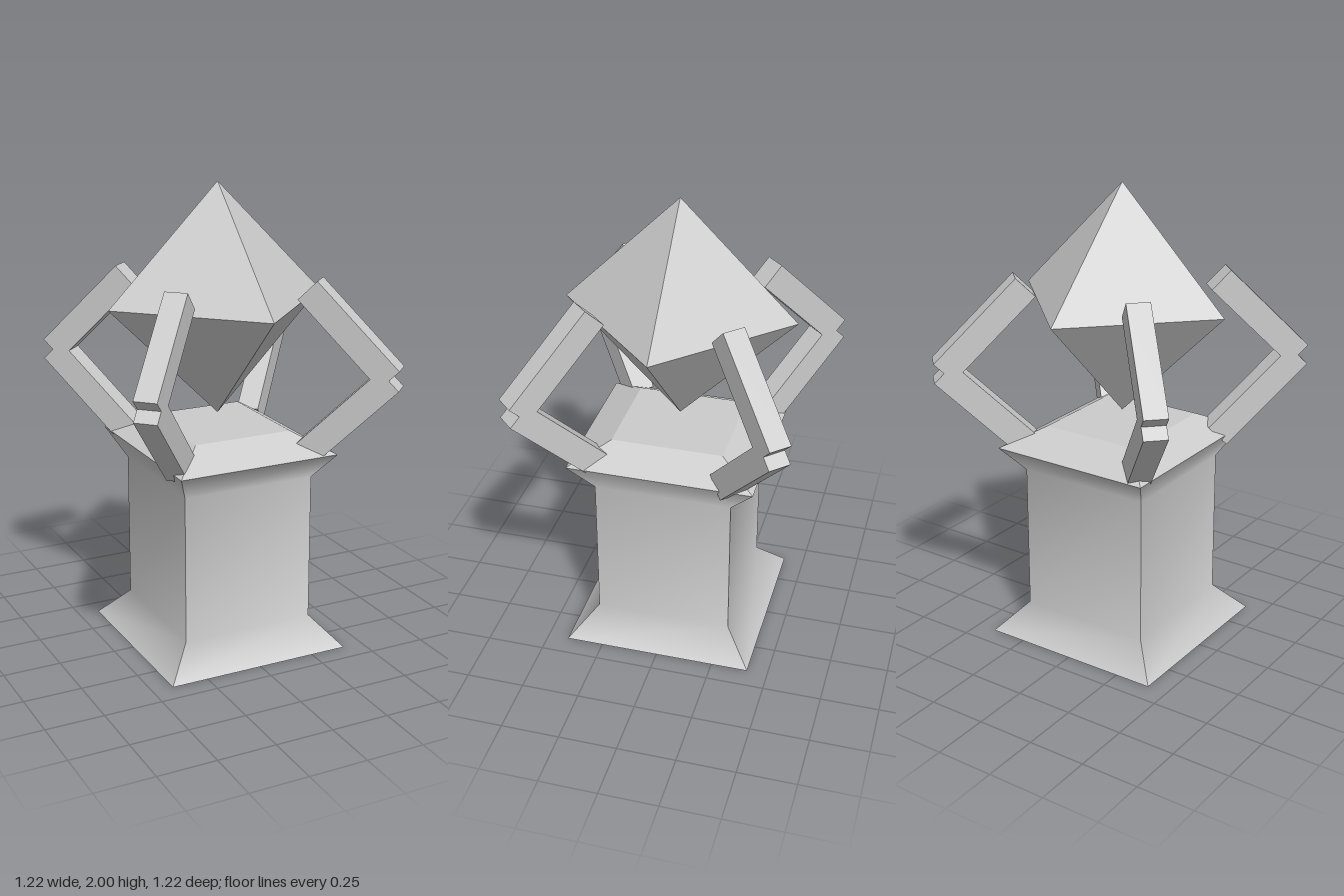
import * as THREE from 'three';

const material = new THREE.MeshStandardMaterial({ color: 0xcccccc });
const flatMaterial = new THREE.MeshStandardMaterial({ color: 0xcccccc, flatShading: true });

function addMesh(parent, name, geometry, mat = material) {
  const mesh = new THREE.Mesh(geometry, mat);
  mesh.name = name;
  parent.add(mesh);
  return mesh;
}

// Four walls through rectangular rings [halfX, halfZ, y], smooth upwards and sharp at the corners.
function wallGeometry(rings) {
  const corners = [[-1, 1], [1, 1], [1, -1], [-1, -1]];
  const positions = [], index = [];
  for (let side = 0; side < 4; side++) {
    const start = positions.length / 3;
    rings.forEach(([hx, hz, y], i) => {
      for (const [sx, sz] of [corners[side], corners[(side + 1) % 4]]) positions.push(sx * hx, y, sz * hz);
      if (i === 0) return;
      const a = start + 2 * (i - 1);
      index.push(a, a + 1, a + 3, a, a + 3, a + 2);
    });
  }
  const geometry = new THREE.BufferGeometry();
  geometry.setAttribute('position', new THREE.Float32BufferAttribute(positions, 3));
  geometry.setIndex(index);
  geometry.computeVertexNormals();
  return geometry;
}

export function createModel() {
  const model = new THREE.Group();
  model.name = 'crystalPedestal';

  // Pedestal: flared column, bevelled top, closed above and below
  const pedestal = new THREE.Group();
  pedestal.name = 'pedestal';
  model.add(pedestal);
  const rim = [0.36, 0.4, 0.89];
  const top = [0.22, 0.24, 0.97];
  addMesh(pedestal, 'column', wallGeometry([[0.41, 0.41, 0], [0.295, 0.295, 0.13], [0.295, 0.295, 0.77], rim]));
  addMesh(pedestal, 'topBevel', wallGeometry([rim, top]));
  const topPlate = addMesh(pedestal, 'topPlate', new THREE.PlaneGeometry(2 * top[0], 2 * top[1]));
  topPlate.rotation.x = -Math.PI / 2;
  topPlate.position.y = top[2];
  const underside = addMesh(pedestal, 'underside', new THREE.PlaneGeometry(0.82, 0.82));
  underside.rotation.x = Math.PI / 2;

  // Floating crystal
  const crystal = addMesh(model, 'crystal', new THREE.OctahedronGeometry(0.492), flatMaterial);
  crystal.position.y = 1.508;

  // Four bent claws on the diagonals, each of two crossing bars
  const bar = new THREE.BoxGeometry(0.49, 0.114, 0.098);
  for (let i = 0; i < 4; i++) {
    const claw = new THREE.Group();
    claw.name = `claw${i + 1}`;
    claw.rotation.y = Math.PI / 4 + i * Math.PI / 2;
    for (const s of [1, -1]) {
      const mesh = addMesh(claw, s > 0 ? 'upperBar' : 'lowerBar', bar);
      mesh.position.set(0.578, 1.238 + s * 0.175, 0.021);
      mesh.rotation.z = -s * Math.PI / 4;
    }
    model.add(claw);
  }
  return model;
}
